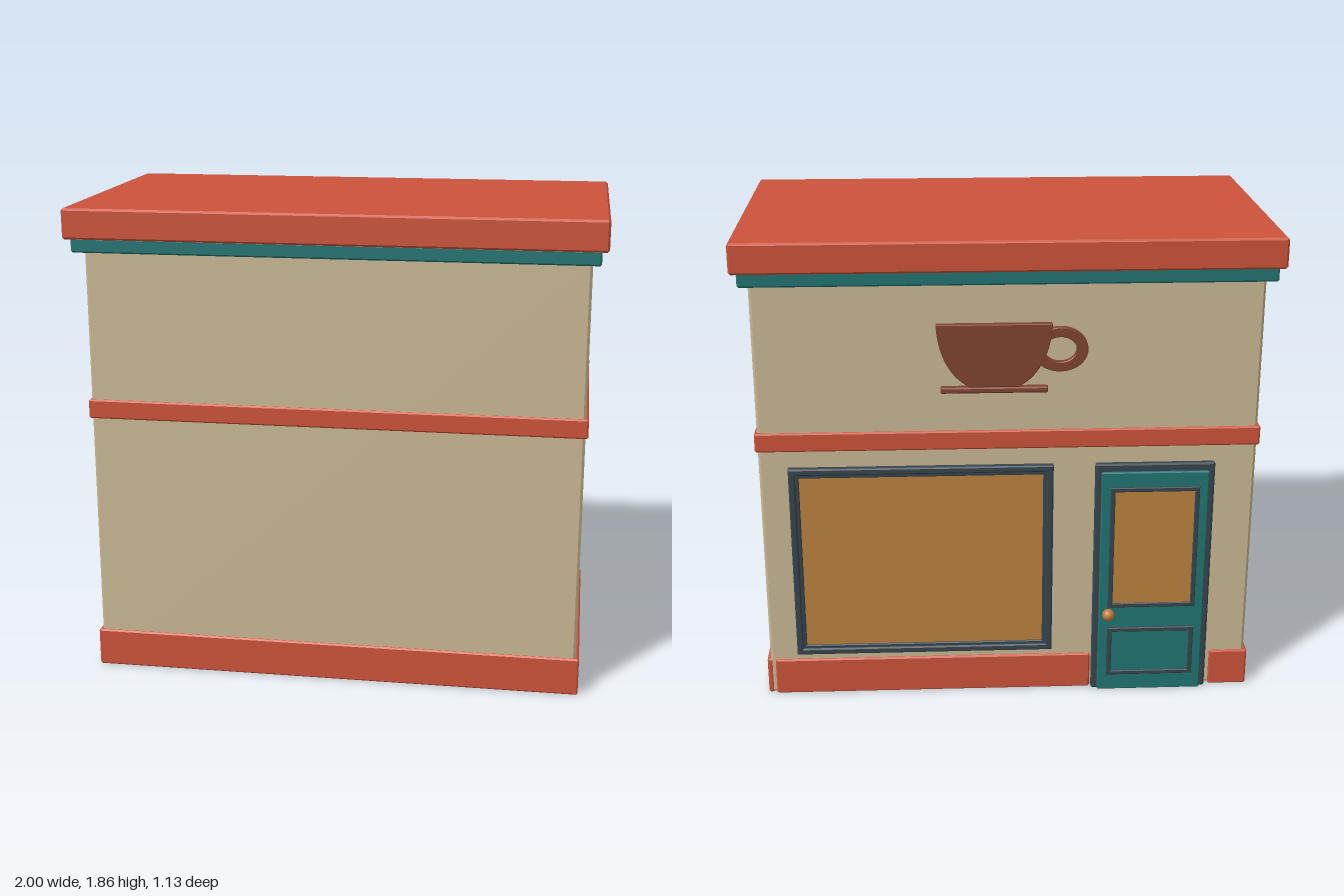
import * as THREE from 'three';
import { ConvexGeometry } from 'three/addons/geometries/ConvexGeometry.js';

const mat = (name, color) => {
  const m = new THREE.MeshStandardMaterial({ color });
  m.name = name;
  return m;
};

export function createModel() {
  const group = new THREE.Group();
  const wall = mat('sand wall', 0xc9b793);
  const red = mat('brick red trim', 0xcb533a);
  const teal = mat('teal', 0x217472);
  const slate = mat('slate frame', 0x36454d);
  const amber = mat('amber glass', 0xbb813d);
  const brown = mat('coffee brown', 0x7f422e);
  const bronze = mat('bronze', 0xc07a38);

  const add = (name, geometry, material) => {
    const mesh = new THREE.Mesh(geometry, material);
    mesh.name = name;
    group.add(mesh);
    return mesh;
  };

  // Box with chamfered edges, given by its limits
  const block = (name, material, x0, x1, y0, y1, z0, z1, b = 0.006) => {
    const h = [(x1 - x0) / 2, (y1 - y0) / 2, (z1 - z0) / 2];
    const pts = [];
    for (const sx of [-1, 1]) for (const sy of [-1, 1]) for (const sz of [-1, 1])
      for (let k = 0; k < 3; k++) {
        const e = h.map((v, i) => (i === k ? v : v - b));
        pts.push(new THREE.Vector3(sx * e[0], sy * e[1], sz * e[2]));
      }
    const mesh = add(name, new ConvexGeometry(pts), material);
    mesh.position.set((x0 + x1) / 2, (y0 + y1) / 2, (z0 + z1) / 2);
    return mesh;
  };

  // Flat shape extruded between two depths
  const plate = (name, material, shape, z0, z1, bevel = 0) => {
    const geometry = new THREE.ExtrudeGeometry(shape, {
      depth: z1 - z0 - 2 * bevel, curveSegments: 20, bevelEnabled: bevel > 0,
      bevelThickness: bevel, bevelSize: bevel, bevelOffset: -bevel, bevelSegments: 1,
    });
    add(name, geometry, material).position.z = z0 + bevel;
  };
  const rect = (x0, x1, y0, y1, Type = THREE.Shape) => new Type([
    new THREE.Vector2(x0, y0), new THREE.Vector2(x1, y0),
    new THREE.Vector2(x1, y1), new THREE.Vector2(x0, y1)]);
  const frame = (name, x0, x1, y0, y1, t, z0, z1, bevel) => {
    const s = rect(x0, x1, y0, y1);
    s.holes.push(rect(x0 + t, x1 - t, y0 + t, y1 - t, THREE.Path));
    plate(name, slate, s, z0, z1, bevel);
  };

  // Walls, middle band, cornice and roof
  block('walls', wall, -0.945, 0.945, 0.002, 1.7, -0.478, 0.478, 0.01);
  block('middleBand', red, -0.955, 0.955, 1.035, 1.11, -0.487, 0.487);
  block('cornice', teal, -0.975, 0.975, 1.69, 1.745, -0.545, 0.545);
  block('roofSlab', red, -1, 1, 1.742, 1.857, -0.567, 0.567, 0.008);

  // Plinth, broken at the doorway
  block('plinthFront', red, -0.958, 0.958, 0, 0.15, 0.465, 0.487);
  for (const s of [-1, 1])
    block('plinthSide', red, s > 0 ? 0.935 : -0.958, s > 0 ? 0.958 : -0.935, 0, 0.15, -0.476, 0.48);
  block('plinthUnderWindow', red, -0.325, 0.925, 0, 0.15, -0.487, -0.465);
  block('plinthBesideDoor', red, -0.957, -0.805, 0, 0.15, -0.487, -0.465);

  // Shop window
  frame('windowFrame', -0.17, 0.835, 0.18, 0.97, 0.026, -0.503, -0.47, 0.005);
  frame('windowInnerFrame', -0.147, 0.812, 0.203, 0.947, 0.016, -0.496, -0.47, 0.003);
  block('windowGlass', amber, -0.14, 0.805, 0.21, 0.94, -0.489, -0.47, 0.002);

  // Door with its casing, glass, lower panel and knob
  block('doorCasing', slate, -0.788, -0.33, 0, 0.97, -0.5, -0.47);
  block('door', teal, -0.765, -0.353, 0, 0.94, -0.512, -0.48, 0.004);
  frame('doorGlassMoulding', -0.73, -0.388, 0.37, 0.88, 0.018, -0.521, -0.505, 0.003);
  block('doorGlass', amber, -0.715, -0.403, 0.385, 0.865, -0.516, -0.505, 0.002);
  frame('doorPanelMoulding', -0.73, -0.388, 0.07, 0.28, 0.018, -0.521, -0.505, 0.003);
  block('doorPanel', teal, -0.715, -0.403, 0.085, 0.265, -0.516, -0.505, 0.002);
  add('doorKnob', new THREE.SphereGeometry(0.024, 20, 14), bronze).position.set(-0.388, 0.35, -0.541);
  const stem = add('knobStem', new THREE.CylinderGeometry(0.01, 0.01, 0.04, 12), bronze);
  stem.rotation.x = Math.PI / 2;
  stem.position.set(-0.388, 0.35, -0.52);

  // Cup sign: bowl, handle and saucer
  const cx = 0.055;
  const bowl = new THREE.Shape();
  bowl.moveTo(cx - 0.215, 1.53);
  bowl.bezierCurveTo(cx - 0.21, 1.42, cx - 0.17, 1.33, cx - 0.09, 1.288);
  bowl.lineTo(cx + 0.09, 1.288);
  bowl.bezierCurveTo(cx + 0.17, 1.33, cx + 0.21, 1.42, cx + 0.215, 1.53);
  plate('signBowl', brown, bowl, -0.503, -0.474, 0.003);
  const handle = new THREE.Shape().absellipse(-0.19, 1.43, 0.103, 0.085, 0, Math.PI * 2);
  handle.holes.push(new THREE.Path().absellipse(-0.19, 1.43, 0.06, 0.048, 0, Math.PI * 2));
  plate('signHandle', brown, handle, -0.502, -0.474, 0.003);
  block('signSaucer', brown, cx - 0.2, cx + 0.2, 1.265, 1.288, -0.506, -0.474, 0.005);

  return group;
}
